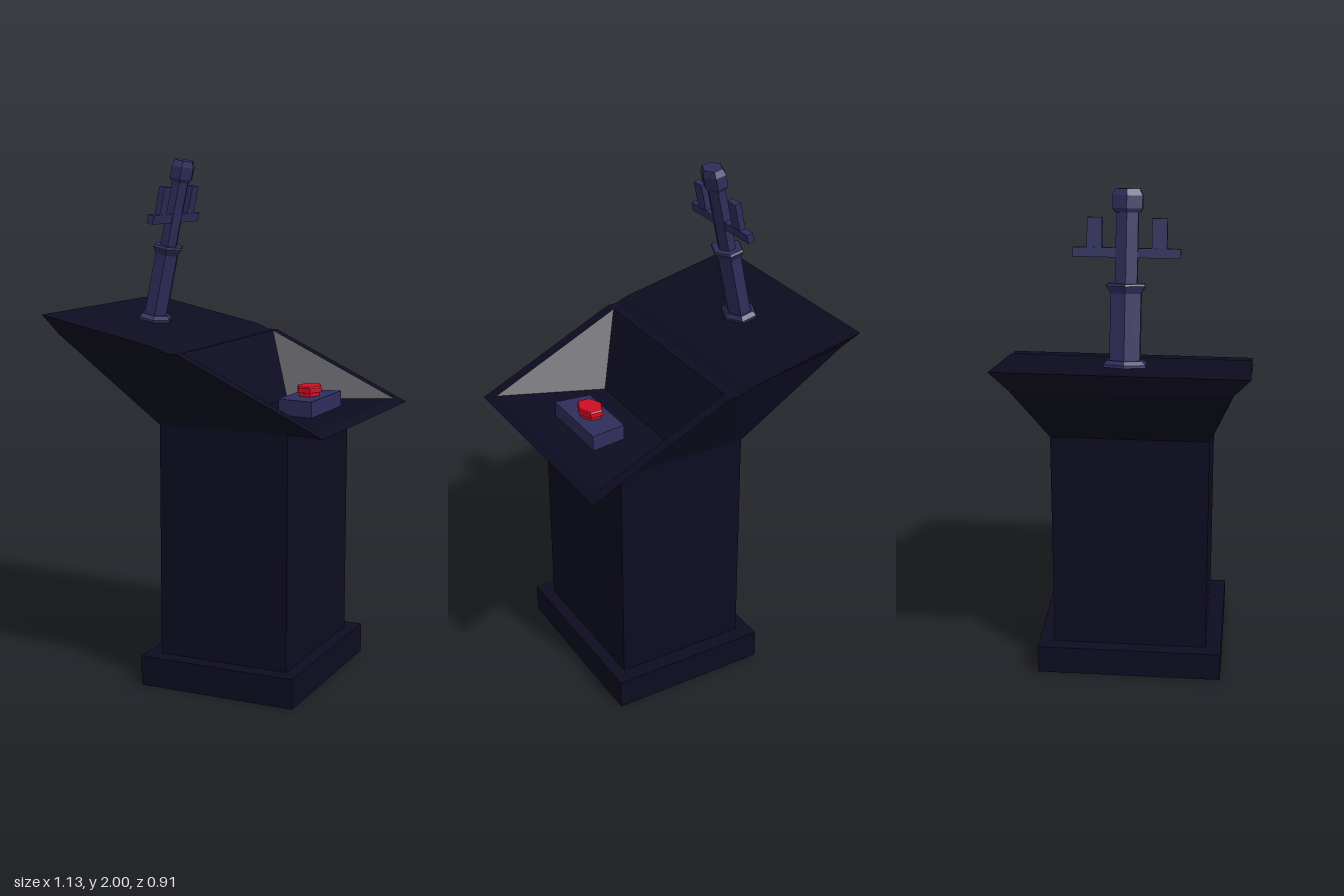
import * as THREE from 'three';

const navy = new THREE.MeshStandardMaterial({ color: 0x0d0c21 });
navy.name = 'darkNavy';
const indigo = new THREE.MeshStandardMaterial({ color: 0x2f2e5c });
indigo.name = 'indigo';
const red = new THREE.MeshStandardMaterial({ color: 0xd00f24 });
red.name = 'red';

function add(parent, name, geometry, material, x = 0, y = 0, z = 0) {
  const mesh = new THREE.Mesh(geometry, material);
  mesh.name = name;
  mesh.position.set(x, y, z);
  parent.add(mesh);
  return mesh;
}

// Box given by its x, y and z ranges
function block(parent, name, material, x0, x1, y0, y1, z0, z1) {
  return add(parent, name, new THREE.BoxGeometry(x1 - x0, y1 - y0, z1 - z0), material,
    (x0 + x1) / 2, (y0 + y1) / 2, (z0 + z1) / 2);
}

// Faceted six-sided turned part, wider along z, with a corner facing +x
function hexTurned(points, zScale) {
  const g = new THREE.LatheGeometry(points.map(([r, h]) => new THREE.Vector2(r, h)), 6, Math.PI / 2)
    .scale(1, 1, zScale).toNonIndexed();
  g.computeVertexNormals();
  return g;
}

// Slanted console: each point is [x, y, half width], mirrored across z
function consoleGeometry() {
  const a = [-0.565, 1.42, 0.455], b = [-0.085, 1.32, 0.455], c = [-0.04, 1.3, 0.455];
  const d = [0, 1.3, 0.455], e = [0.565, 1.035, 0.455];
  const f = [-0.53, 1.34, 0.39], g = [-0.15, 1.01, 0.305], h = [0.37, 1.01, 0.305];
  const d2 = [0, 1.3, 0.41], e2 = [0.53, 1.051, 0.41], k = [0.135, 1.051, 0.245];
  const pos = [];
  const mirror = ([x, y, z]) => [x, y, -z];
  const tri = (p, q, r) => pos.push(...p, ...q, ...r);

  // Faces spanning the full width: underside, rim, recess and back panel
  const spans = [[a, f], [f, g], [g, h], [h, e], [e, e2], [e2, k], [k, d2], [d, c], [c, b], [b, a]];
  for (const [p, q] of spans) {
    tri(p, mirror(p), mirror(q));
    tri(p, mirror(q), q);
  }
  // Outer sides, side rims and recess cheeks
  const sides = [[a, f, b], [f, g, b], [g, c, b], [g, d, c], [g, h, d], [h, e, d],
    [d, e, e2], [d, e2, d2], [d2, e2, k]];
  for (const [p, q, r] of sides) {
    tri(p, q, r);
    tri(mirror(p), mirror(r), mirror(q));
  }
  const geo = new THREE.BufferGeometry();
  geo.setAttribute('position', new THREE.Float32BufferAttribute(pos, 3));
  geo.computeVertexNormals();
  return geo;
}

export function createModel() {
  const model = new THREE.Group();
  model.name = 'controlPodium';

  // Pedestal
  block(model, 'base', navy, -0.205, 0.42, 0, 0.115, -0.367, 0.367);
  block(model, 'column', navy, -0.15, 0.37, 0.115, 1.01, -0.305, 0.305);
  add(model, 'console', consoleGeometry(), navy);

  // Tapered button housing
  const plan = new THREE.Shape([[0.26, -0.135], [0.4, -0.153], [0.4, 0.153], [0.26, 0.135]]
    .map(([x, y]) => new THREE.Vector2(x, y)));
  const housing = new THREE.ExtrudeGeometry(plan, { depth: 0.06, bevelEnabled: false });
  add(model, 'buttonHousing', housing.rotateX(-Math.PI / 2), indigo, 0, 1.051, 0);

  // Push button
  const button = [[0.041, 0], [0.041, 0.014], [0.049, 0.016], [0.049, 0.034], [0.045, 0.039], [0, 0.039]];
  add(model, 'button', hexTurned(button, 1.3), red, 0.33, 1.11, 0);

  // Leaning lever with hexagonal grip, shaft and knob
  const lever = new THREE.Group();
  lever.name = 'lever';
  lever.position.set(-0.335, 1.345, 0);
  lever.rotation.z = -0.213;
  model.add(lever);
  const socket = [[0.064, 0], [0.064, 0.036], [0.052, 0.05], [0, 0.05]];
  const grip = [[0.045, 0.04], [0.045, 0.29], [0.058, 0.317], [0.054, 0.325], [0, 0.325]];
  const shaft = [[0.032, 0.31], [0.032, 0.6]];
  const knob = [[0, 0.57], [0.036, 0.575], [0.044, 0.59], [0.044, 0.635], [0.035, 0.658], [0, 0.658]];
  add(lever, 'leverSocket', hexTurned(socket, 1.38), indigo);
  add(lever, 'leverGrip', hexTurned(grip, 1.4), indigo);
  add(lever, 'leverShaft', hexTurned(shaft, 1.42), indigo);
  add(lever, 'leverKnob', hexTurned(knob, 1.42), indigo);

  // Crossbar with two upright prongs
  block(lever, 'crossbar', indigo, -0.013, 0.013, 0.416, 0.45, -0.192, 0.192);
  for (const s of [-1, 1]) {
    const prong = block(lever, 'prong', indigo, -0.012, 0.012, 0.445, 0.556, -0.027, 0.027);
    prong.position.z = s * 0.116;
  }
  return model;
}
